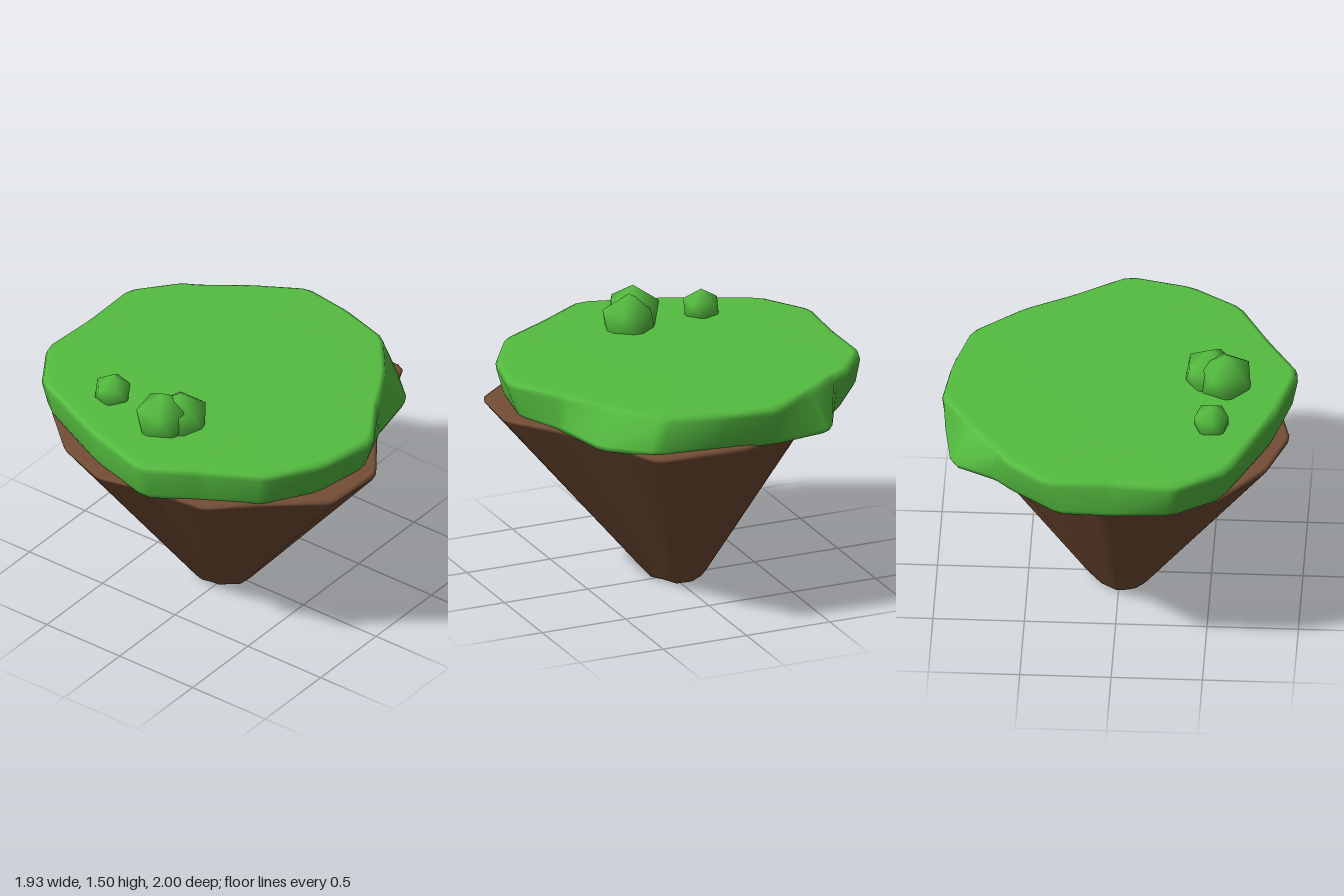
import * as THREE from 'three';
import { mergeVertices } from 'three/addons/utils/BufferGeometryUtils.js';

// Softens an outline by replacing every corner with two points close to it
function soften(points, amount = 0.1) {
  const out = [];
  points.forEach((p, i) => {
    const before = points[(i + points.length - 1) % points.length];
    const after = points[(i + 1) % points.length];
    for (const q of [before, after]) {
      out.push([p[0] + (q[0] - p[0]) * amount, p[1] + (q[1] - p[1]) * amount]);
    }
  });
  return out;
}

// One level of a loft: an [x, z] outline scaled and set at a height
function ring(outline, y, scale = 1, dz = 0) {
  return outline.map(([x, z]) => [x * scale, y, z * scale + dz]);
}

// Skins a stack of rings, bottom to top, and closes both ends
function loft(rings) {
  const n = rings[0].length;
  const positions = rings.flat(2);
  const index = [];
  for (let i = 0; i < rings.length - 1; i++) {
    for (let j = 0; j < n; j++) {
      const a = i * n + j;
      const b = i * n + (j + 1) % n;
      index.push(a, b, b + n, a, b + n, a + n);
    }
  }
  const last = (rings.length - 1) * n;
  const bottom = rings.length * n;
  for (const r of [rings[0], rings[rings.length - 1]]) {
    for (let k = 0; k < 3; k++) positions.push(r.reduce((s, p) => s + p[k], 0) / n);
  }
  for (let j = 0; j < n; j++) {
    const next = (j + 1) % n;
    index.push(bottom, next, j, bottom + 1, last + j, last + next);
  }
  const geometry = new THREE.BufferGeometry();
  geometry.setAttribute('position', new THREE.Float32BufferAttribute(positions, 3));
  geometry.setIndex(index);
  geometry.computeVertexNormals();
  return geometry;
}

// Icosahedron standing on a point, shaded smoothly
function bushGeometry(radius) {
  let geometry = new THREE.IcosahedronGeometry(radius, 0);
  geometry.deleteAttribute('normal');
  geometry.deleteAttribute('uv');
  geometry = mergeVertices(geometry, 1e-4);
  geometry.rotateZ(Math.atan(2 / (1 + Math.sqrt(5))));
  geometry.computeVertexNormals();
  return geometry;
}

export function createModel() {
  const grass = new THREE.MeshStandardMaterial({ color: 0x55bd40 });
  grass.name = 'grass green';
  const soil = new THREE.MeshStandardMaterial({ color: 0x754e36 });
  soil.name = 'soil brown';

  const model = new THREE.Group();
  model.name = 'floatingIsland';
  const add = (name, geometry, material) => {
    const mesh = new THREE.Mesh(geometry, material);
    mesh.name = name;
    model.add(mesh);
    return mesh;
  };

  // Tapering soil, outline runs from the front towards +x
  const soilEdge = soften([
    [0, 1], [0.3, 0.78], [0.6, 0.64], [0.92, 0.49], [0.95, -0.06], [0.58, -0.58],
    [0.05, -0.95], [-0.3, -0.9], [-0.57, -0.8], [-0.82, -0.52], [-0.94, -0.2],
    [-0.86, 0.12], [-0.83, 0.44], [-0.6, 0.68], [-0.36, 0.97],
  ], 0.07);
  add('soilCone', loft([
    ring(soilEdge, 0, 0.135, -0.045),
    ring(soilEdge, 0.012, 0.165, -0.045),
    ring(soilEdge, 0.045, 0.195, -0.044),
    ring(soilEdge, 1.05, 0.995),
    ring(soilEdge, 1.068, 1),
    ring(soilEdge, 1.08, 0.98),
  ]), soil);

  // Turf slab, its lower edge bulges past the top in two places
  const turfTop = soften([
    [0, 0.98], [0.3, 0.79], [0.56, 0.65], [0.84, 0.42], [0.93, 0.1], [0.97, -0.2],
    [0.81, -0.47], [0.64, -0.7], [0.59, -0.79], [0.36, -0.98], [0, -0.975], [-0.35, -1],
    [-0.63, -0.82], [-0.86, -0.3], [-0.98, 0.12], [-0.8, 0.41], [-0.63, 0.72], [-0.35, 0.9],
  ]);
  const turfBottom = soften([
    [0, 0.92], [0.31, 0.79], [0.65, 0.72], [0.86, 0.48], [0.91, 0.1], [0.95, -0.21],
    [0.9, -0.56], [0.66, -0.68], [0.57, -0.77], [0.3, -0.98], [0, -0.99], [-0.33, -0.97],
    [-0.6, -0.8], [-0.84, -0.29], [-0.95, 0.12], [-0.78, 0.4], [-0.61, 0.69], [-0.34, 0.86],
  ]);
  add('turf', loft([
    ring(turfBottom, 1.055, 0.95),
    ring(turfBottom, 1.065, 0.98),
    ring(turfBottom, 1.1, 1),
    ring(turfTop, 1.25, 1),
    ring(turfTop, 1.28, 0.99),
    ring(turfTop, 1.292, 0.96),
  ]), grass);

  // Bushes: x, y, z, radius
  const bushes = [
    [-0.495, 1.32, 0.03, 0.162],
    [-0.575, 1.335, -0.03, 0.162],
    [-0.52, 1.322, -0.415, 0.11],
  ];
  bushes.forEach(([x, y, z, radius], i) => {
    const bush = add(`bush${i + 1}`, bushGeometry(radius), grass);
    bush.position.set(x, y, z);
    bush.rotation.y = i * 0.5;
  });

  return model;
}
